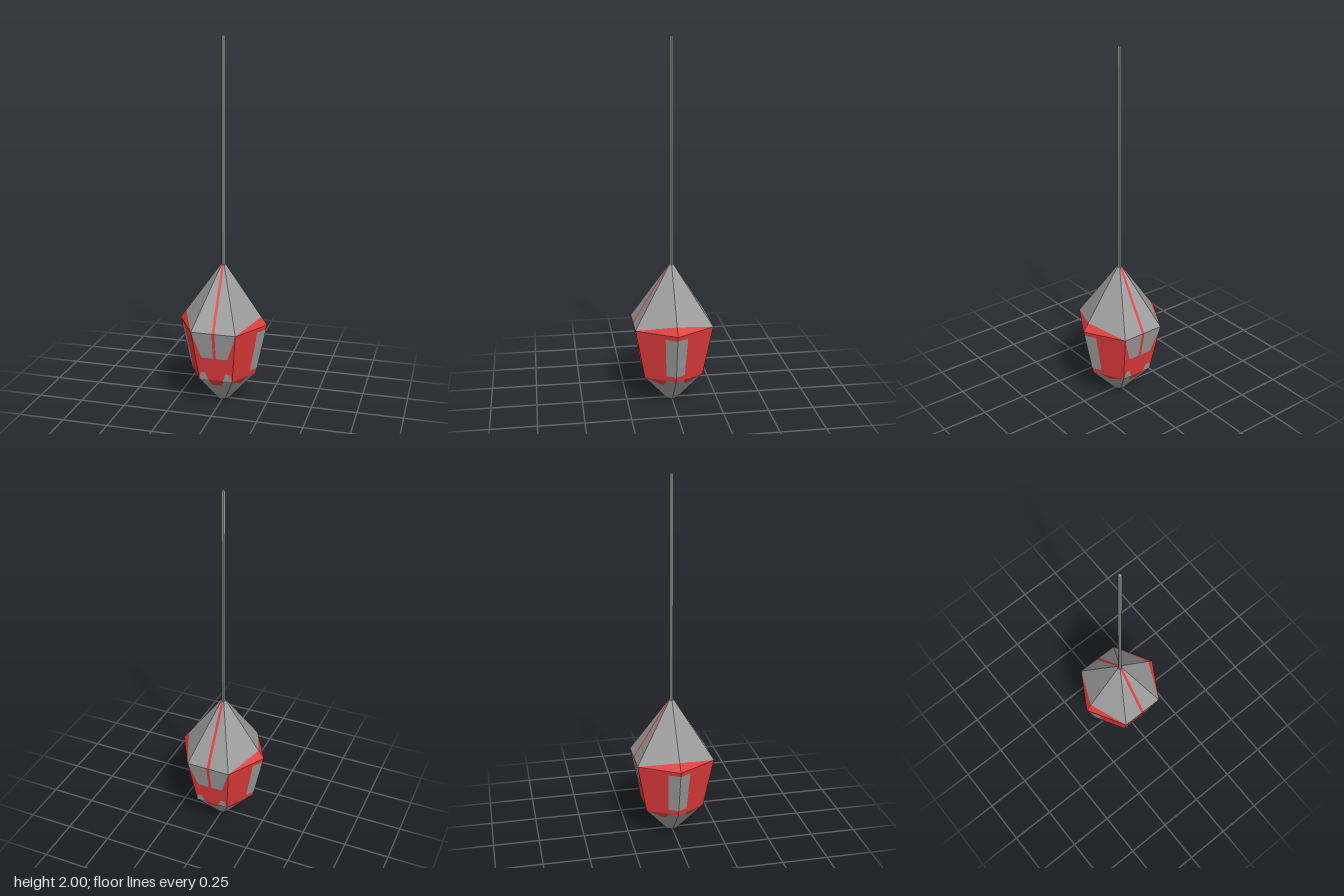
import * as THREE from 'three';

// Corner radius of the six-sided body at each change of slope: [y, radius]
const PROFILE = [[0, 0.032], [0.17, 0.185], [0.455, 0.245], [0.78, 0.015]];
const LIFT = 0.0012; // paint sits just proud of the body

function radiusAt(y) {
  for (let i = 1; i < PROFILE.length; i++) {
    const [y0, r0] = PROFILE[i - 1], [y1, r1] = PROFILE[i];
    if (y <= y1) return r0 + (r1 - r0) * (y - y0) / (y1 - y0);
  }
  return PROFILE[PROFILE.length - 1][1];
}

// Point on hexagon face k; t runs 0..1 from one corner to the next
function facePoint(k, t, y) {
  const r = radiusAt(y) + LIFT;
  const a = k * Math.PI / 3, b = (k + 1) * Math.PI / 3;
  return [
    r * (Math.cos(a) * (1 - t) + Math.cos(b) * t), y,
    r * (Math.sin(a) * (1 - t) + Math.sin(b) * t),
  ];
}

// Convex painted panel, outlined by [t, y] corners
function panel(name, material, k, outline, mirror = false) {
  const p = outline.map(([t, y]) => facePoint(k, mirror ? 1 - t : t, y));
  const pos = [];
  for (let i = 1; i < p.length - 1; i++) pos.push(...p[0], ...p[i], ...p[i + 1]);
  const g = new THREE.BufferGeometry();
  g.setAttribute('position', new THREE.Float32BufferAttribute(pos, 3));
  g.computeVertexNormals();
  const m = new THREE.Mesh(g, material);
  m.name = name;
  return m;
}

export function createModel() {
  const model = new THREE.Group();
  model.name = 'floatOnRod';
  const grey = new THREE.MeshStandardMaterial({ color: 0x999999, flatShading: true });
  const red = new THREE.MeshStandardMaterial({ color: 0xe03a3a, flatShading: true });
  const greyPaint = grey.clone(), redPaint = red.clone();
  greyPaint.side = redPaint.side = THREE.DoubleSide;

  // Hexagonal section with corners on the x axis
  const section = (name, material, y0, r0, y1, r1, open) => {
    const g = new THREE.CylinderGeometry(r1, r0, y1 - y0, 6, 1, open, Math.PI / 2);
    const m = new THREE.Mesh(g, material);
    m.position.y = (y0 + y1) / 2;
    m.name = name;
    model.add(m);
  };

  // Body: lower cone, red middle, upper cone, then the rod
  ['lowerCone', 'middleBody', 'upperCone'].forEach((name, i) => {
    const [y0, r0] = PROFILE[i], [y1, r1] = PROFILE[i + 1];
    section(name, i === 1 ? red : grey, y0, r0, y1, r1, i === 1);
  });
  section('rod', grey, 0.77, 0.01, 2, 0.01, false);

  // Four side faces: windows that wrap around the side corners, red wedges
  for (const [k, mirror] of [[0, false], [2, true], [3, false], [5, true]]) {
    model.add(
      panel('sideWindow', greyPaint, k, [[0, 0.43], [0.29, 0.43], [0.3, 0.2], [0, 0.2]], mirror),
      panel('upperWedge', redPaint, k, [[0, 0.455], [1, 0.455], [0, 0.5]], mirror),
      panel('lowerWedge', redPaint, k, [[0.28, 0.17], [0.46, 0.127], [0.52, 0.127], [1, 0.17]], mirror),
    );
  }

  // Front and back faces: window, centre stripe, corner tabs
  const half = 0.008;
  const stripe = (y) => [0.5 - Math.min(0.4, half / radiusAt(y)), 0.5 + Math.min(0.4, half / radiusAt(y))];
  const band = (y0, y1) => {
    const [a, b] = stripe(y0), [c, d] = stripe(y1);
    return [[a, y0], [b, y0], [d, y1], [c, y1]];
  };
  for (const k of [1, 4]) {
    model.add(panel('upperStripe', redPaint, k, band(0.455, 0.78)));
    model.add(panel('lowerCentre', redPaint, k, [[0.28, 0.17], [0.72, 0.17], [0.7, 0.127], [0.3, 0.127]]));
    for (const mirror of [false, true]) {
      // Half window, leaving the red stripe bare at the centre
      model.add(
        panel('halfWindow', greyPaint, k, [
          [0, 0.455], [stripe(0.455)[0], 0.455], [stripe(0.305)[0], 0.305], [0.17, 0.305], [0.155, 0.43],
        ], mirror),
        panel('cornerTab', greyPaint, k, [[0, 0.17], [0.085, 0.215], [0.21, 0.215], [0.28, 0.17]], mirror),
      );
    }
  }
  return model;
}
